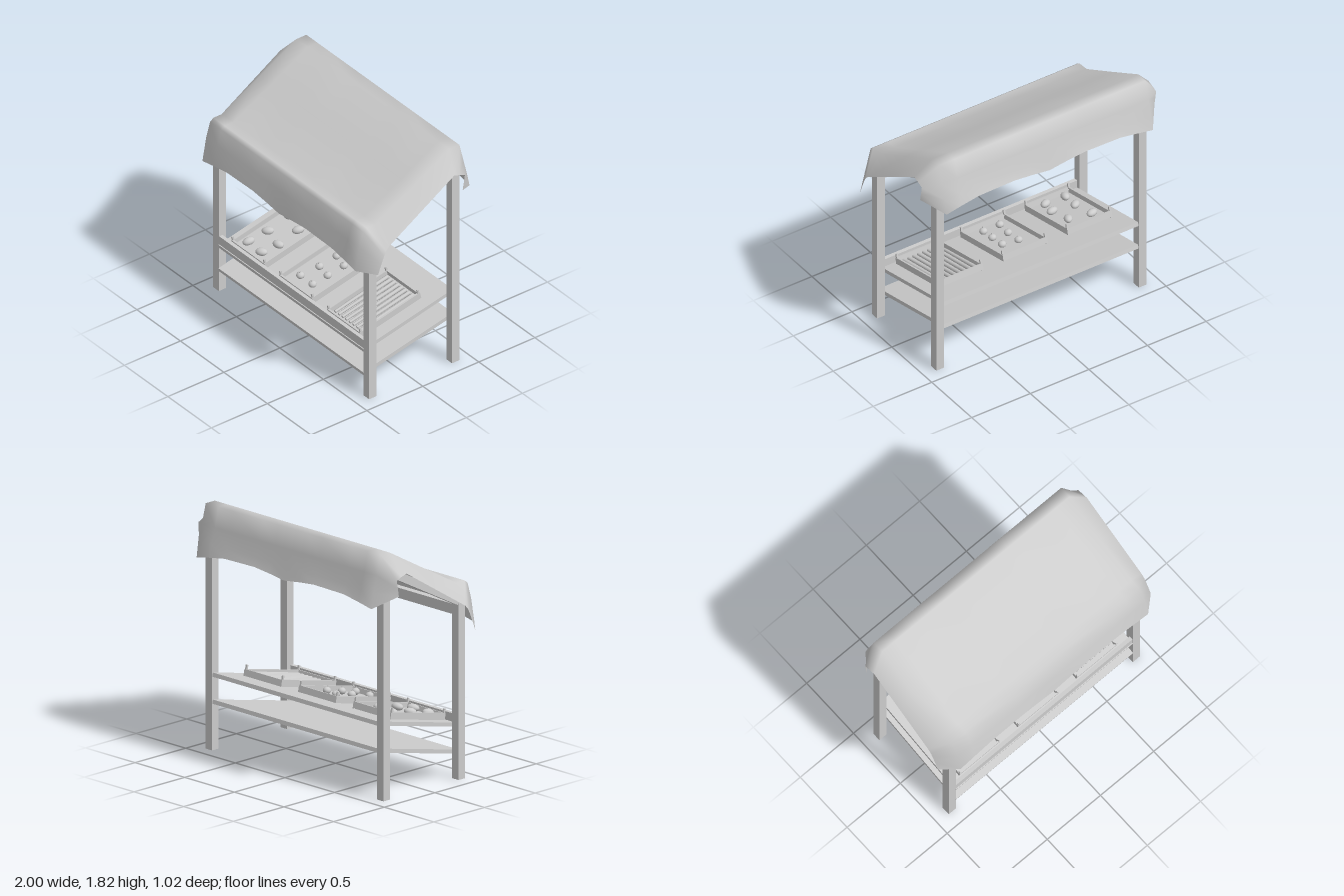
import * as THREE from 'three';

const TILT = Math.atan(0.222);
const stone = new THREE.MeshStandardMaterial({ color: 0xcccccc });
stone.name = 'plain grey';
const cloth = new THREE.MeshStandardMaterial({ color: 0xcccccc, side: THREE.DoubleSide });
cloth.name = 'plain grey cloth';

function add(parent, name, geo, x, y, z, rx = 0) {
  const m = new THREE.Mesh(geo, stone);
  m.name = name;
  m.position.set(x, y, z);
  m.rotation.x = rx;
  parent.add(m);
  return m;
}
const box = (p, name, w, h, d, x, y, z, rx) => add(p, name, new THREE.BoxGeometry(w, h, d), x, y, z, rx);

// Draped canopy: cross-sections (z, y) lofted along x, pinched at both ends
function canopy() {
  const mid = [[0.508, 1.18], [0.475, 1.31], [0.44, 1.43], [0.41, 1.452], [0.33, 1.452],
    [0, 1.632], [-0.33, 1.815], [-0.42, 1.815], [-0.455, 1.67], [-0.485, 1.55], [-0.51, 1.49]];
  const end = [[0.4, 1.11], [0.37, 1.19], [0.345, 1.25], [0.328, 1.285], [0.3, 1.315],
    [0.01, 1.495], [-0.28, 1.675], [-0.33, 1.66], [-0.375, 1.64], [-0.365, 1.58], [-0.355, 1.52]];
  // x station and how far the hem hangs below its highest point
  const half = [[0, 0.035], [0.15, 0.015], [0.3, 0], [0.6, 0.005], [0.75, 0.03], [0.88, 0.055]];
  const stations = [[-1, 0], ...half.slice(1).reverse().map(([x, d]) => [-x, d]), ...half, [1, 0]];
  const pos = [], idx = [], n = mid.length;
  for (const [x, drop] of stations) {
    const row = Math.abs(x) === 1 ? end : mid;
    row.forEach(([z, y], j) => pos.push(x, y - (j === 0 || j === n - 1 ? drop : 0), z));
  }
  for (let i = 0; i < stations.length - 1; i++) {
    for (let j = 0; j < n - 1; j++) {
      const a = i * n + j, b = a + n;
      idx.push(a, b, a + 1, b, b + 1, a + 1);
    }
  }
  const g = new THREE.BufferGeometry();
  g.setAttribute('position', new THREE.Float32BufferAttribute(pos, 3));
  g.setIndex(idx);
  g.computeVertexNormals();
  const m = new THREE.Mesh(g, cloth);
  m.name = 'canopy';
  return m;
}

// Shallow tray with slatted ends and corner pegs, sitting on the sloping counter
function tray(name, x) {
  const t = new THREE.Group(), W = 0.38, L = 0.55, T = 0.014;
  t.name = name;
  t.position.set(x, 0.468, 0.073);
  t.rotation.x = TILT;
  box(t, 'trayFloor', W - T, 0.012, L - T, 0, 0.006, 0);
  for (const s of [-1, 1]) {
    box(t, 'traySide', T, 0.05, L, s * (W - T) / 2, 0.025, 0);
    box(t, 'trayEnd', W, 0.045, T, 0, 0.0275, s * (L - T) / 2);
    for (const e of [-1, 1]) box(t, 'trayPeg', T, 0.082, T, s * (W / 2 - 0.008), 0.041, e * (L / 2 - 0.012));
  }
  return t;
}

export function createModel() {
  const g = new THREE.Group();
  g.name = 'marketStall';

  // Posts and sloping roof rails, mirrored
  for (const s of [-1, 1]) {
    box(g, 'frontPost', 0.066, 1.3, 0.066, s * 0.864, 0.65, 0.367);
    box(g, 'backPost', 0.066, 1.64, 0.066, s * 0.864, 0.82, -0.373);
    box(g, 'roofRail', 0.06, 0.06, 0.84, s * 0.864, 1.496, 0, Math.atan(0.524));
  }
  box(g, 'frontBeam', 1.67, 0.075, 0.05, 0, 1.245, 0.367);
  box(g, 'backBeam', 1.67, 0.075, 0.05, 0, 1.6, -0.373);

  // Tilted counter, lower shelf and front lip
  const len = 0.8 / Math.cos(TILT);
  box(g, 'counter', 1.664, 0.03, len, 0, 0.469, 0, TILT);
  box(g, 'lowerShelf', 1.664, 0.03, len, 0, 0.27, 0, TILT);
  box(g, 'counterLip', 1.664, 0.09, 0.03, 0, 0.42, 0.382);

  // Tray of long roots or potatoes
  const left = tray('potatoTray', -0.56);
  const potatoes = [[-0.09, -0.17, 0.3], [0.08, -0.12, 1.1], [-0.08, 0.03, 0.7], [0.09, 0.07, 0.2],
    [-0.1, 0.19, 1.3], [0.06, 0.2, 0.5]];
  for (const [x, z, turn] of potatoes) {
    const p = add(left, 'potato', new THREE.SphereGeometry(0.03, 14, 10), x, 0.036, z);
    p.scale.set(1.55, 0.9, 1.05);
    p.rotation.y = turn;
  }

  // Tray of round vegetables with small stalks
  const middle = tray('tomatoTray', -0.01);
  for (const [x, z] of [[-0.04, -0.13], [0.08, -0.1], [-0.05, 0.02], [0.07, 0.04], [-0.08, 0.17], [0.06, 0.17]]) {
    const p = add(middle, 'tomato', new THREE.SphereGeometry(0.03, 14, 10), x, 0.037, z);
    p.scale.y = 0.85;
    add(middle, 'stalk', new THREE.CylinderGeometry(0.004, 0.006, 0.012, 6), x, 0.066, z);
  }

  // Tray of long stems laid side by side
  const right = tray('stemTray', 0.54);
  for (let i = 0; i < 8; i++) {
    add(right, 'stem', new THREE.CylinderGeometry(0.011, 0.015, 0.48, 8), -0.147 + i * 0.042, 0.026, 0, Math.PI / 2);
  }

  g.add(left, middle, right, canopy());
  return g;
}
